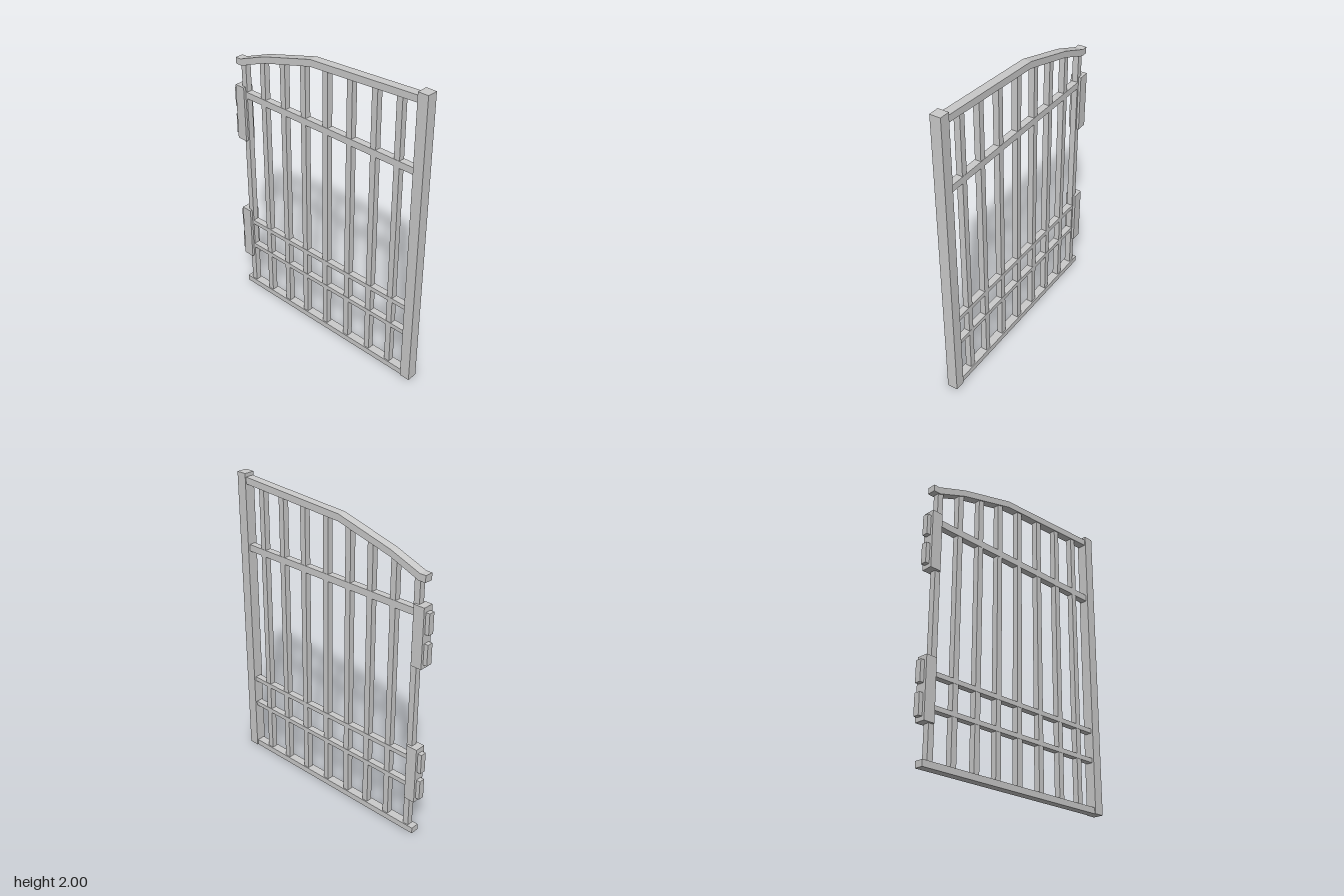
import * as THREE from 'three';

export function createModel() {
  const gate = new THREE.Group();
  gate.name = 'gate';
  const material = new THREE.MeshStandardMaterial({ color: 0xcccccc, flatShading: true });

  function add(name, geometry, parent = gate) {
    const mesh = new THREE.Mesh(geometry, material);
    mesh.name = name;
    parent.add(mesh);
    return mesh;
  }

  // Box from its x and y limits, centred on z = 0
  function bar(name, x0, x1, y0, y1, depth, parent) {
    const mesh = add(name, new THREE.BoxGeometry(x1 - x0, y1 - y0, depth), parent);
    mesh.position.set((x0 + x1) / 2, (y0 + y1) / 2, 0);
    return mesh;
  }

  // Closing post and bottom rail
  bar('closingPost', 0.688, 0.757, 0, 2, 0.07);
  bar('bottomRail', -0.725, 0.69, 0, 0.04, 0.056);

  // Bent top rail
  const upper = [[-0.725, 1.75], [-0.685, 1.75], [-0.474, 1.83], [-0.087, 1.934], [0.69, 1.977]];
  const lower = [[-0.725, 1.707], [-0.677, 1.707], [-0.474, 1.787], [-0.087, 1.889], [0.69, 1.933]];
  const outline = [...lower, ...upper.slice().reverse()].map(([x, y]) => new THREE.Vector2(x, y));
  const topRail = new THREE.ExtrudeGeometry(new THREE.Shape(outline), { depth: 0.056, bevelEnabled: false });
  topRail.translate(0, 0, -0.028);
  add('topRail', topRail);

  // Height of the middle of the top rail at x
  function railHeight(x) {
    const i = lower.findIndex((p) => p[0] > x);
    const [a, b] = [lower[i - 1], lower[i]];
    return a[1] + (b[1] - a[1]) * (x - a[0]) / (b[0] - a[0]) + 0.015;
  }

  // Hinge stile and upright bars, ending inside the top rail
  [-0.666, -0.498, -0.325, -0.156, 0.022, 0.208, 0.39, 0.562].forEach((x, i) => {
    bar(i ? 'uprightBar' : 'hingeStile', x - 0.02, x + 0.02, 0.03, railHeight(x), 0.04);
  });

  // Cross rails
  for (const [y0, y1] of [[0.33, 0.36], [0.527, 0.557], [1.488, 1.533]]) {
    bar('crossRail', -0.65, 0.69, y0, y1, 0.044);
  }

  // Hinges: block with two knuckles
  for (const y of [0.25, 1.18]) {
    const hinge = new THREE.Group();
    hinge.name = 'hinge';
    hinge.position.y = y;
    gate.add(hinge);
    bar('hingeBlock', -0.733, -0.659, 0, 0.384, 0.073, hinge);
    for (const k of [0.026, 0.218]) bar('hingeKnuckle', -0.76, -0.725, k, k + 0.134, 0.04, hinge);
  }

  return gate;
}
